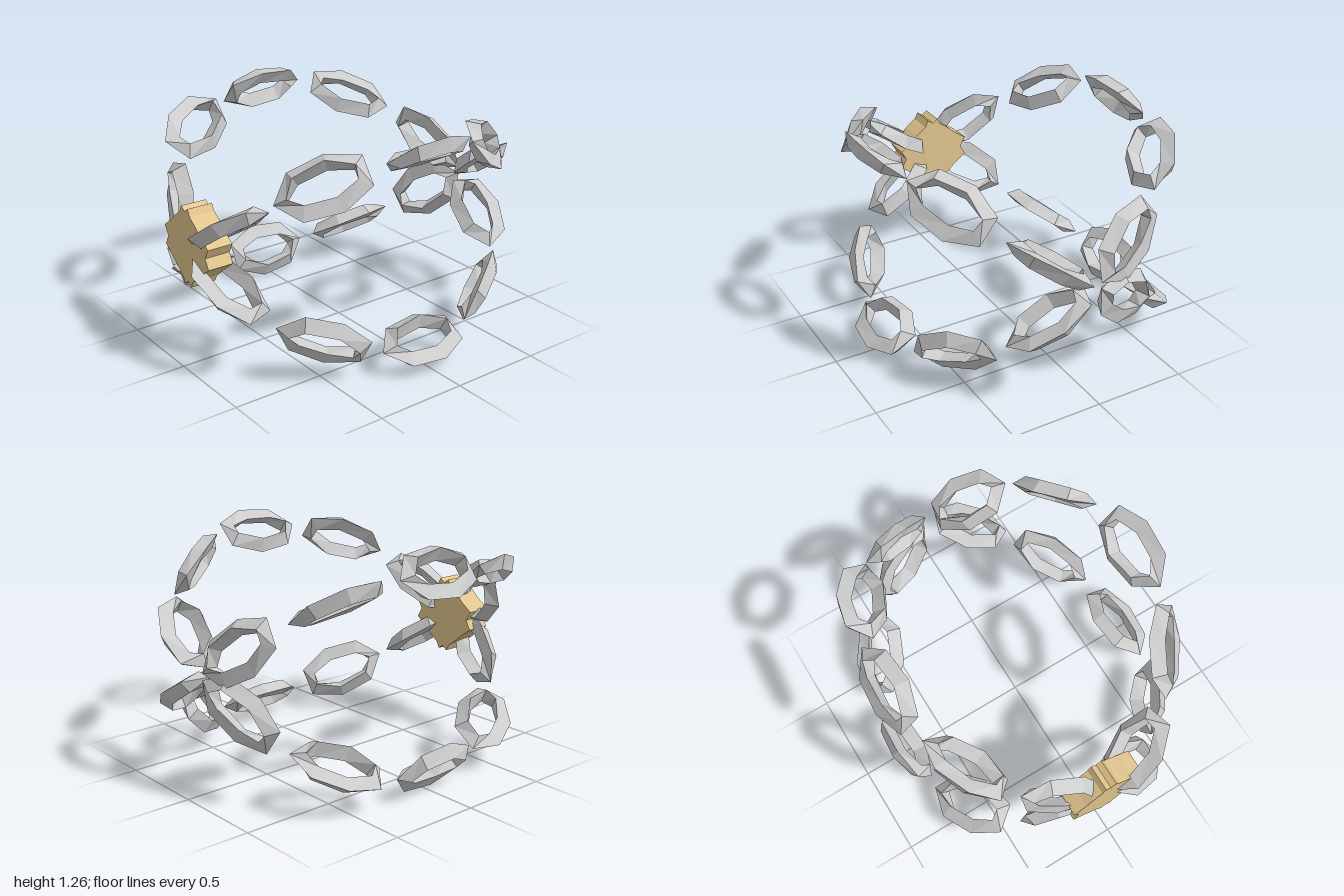
import * as THREE from 'three';

// One link: a three-sided bar of even thickness swept round a seven-cornered
// oval, its section rolling slightly from one long side to the other
function makeLinkGeometry() {
  const sides = 3, corners = 7;
  const halfLength = 0.208, halfWidth = 0.113, bar = 0.047;
  const roll = Math.PI / 6;
  const geo = new THREE.TorusGeometry(1, 0.2, sides, corners);
  const pos = geo.attributes.position;
  for (let j = 0, k = 0; j <= sides; j++) {
    for (let i = 0; i <= corners; i++, k++) {
      const a = (i / corners) * Math.PI * 2;
      const v = (j / sides) * Math.PI * 2 + roll * Math.sin(a);
      const out = new THREE.Vector2(Math.cos(a) / halfLength, Math.sin(a) / halfWidth).normalize();
      pos.setXYZ(k,
        halfLength * Math.cos(a) + out.x * bar * Math.cos(v),
        halfWidth * Math.sin(a) + out.y * bar * Math.cos(v),
        bar * Math.sin(v));
    }
  }
  geo.computeVertexNormals();
  return geo;
}

export function createModel() {
  const model = new THREE.Group();
  model.name = 'crossedChains';
  const steel = new THREE.MeshStandardMaterial({ color: 0xcccccc, flatShading: true });
  const gold = new THREE.MeshStandardMaterial({ color: 0xe2c68e, flatShading: true });
  const cx = -0.015, cy = 0.627;
  const linkGeo = makeLinkGeometry();

  // A ring of ten links, every second one turned on edge
  function chain(name, tilt) {
    const ring = new THREE.Group();
    ring.name = name;
    const count = 10, radius = 0.88;
    const up = new THREE.Vector3(0, 1, 0);
    for (let i = 0; i < count; i++) {
      const a = (i / count) * Math.PI * 2;
      const tangent = new THREE.Vector3(-Math.sin(a), 0, Math.cos(a));
      const radial = new THREE.Vector3(Math.cos(a), 0, Math.sin(a));
      const link = new THREE.Mesh(linkGeo, steel);
      link.name = 'chainLink' + (i + 1);
      link.quaternion.setFromRotationMatrix(new THREE.Matrix4().makeBasis(tangent, radial, up));
      if (i % 2) link.rotateX(Math.PI / 2);
      link.position.copy(radial).multiplyScalar(radius);
      ring.add(link);
    }
    ring.rotation.z = tilt;
    ring.position.set(cx, cy, 0);
    return ring;
  }
  const tilt = THREE.MathUtils.degToRad(35);
  model.add(chain('chainRisingLeft', tilt), chain('chainRisingRight', -tilt));

  // Notched cross plate at the front crossing, mirrored from one quarter outline
  const quarter = [[0.18, 0], [0.21, 0.053], [0.14, 0.103], [0.105, 0.135],
    [0.065, 0.165], [0.05, 0.175], [0.03, 0.212], [0, 0.19]];
  const half = quarter.concat(quarter.slice(0, -1).reverse().map(([x, y]) => [-x, y]));
  const outline = half.concat(half.slice(1, -1).reverse().map(([x, y]) => [x, -y]));
  const shape = new THREE.Shape(outline.map(([x, y]) => new THREE.Vector2(x, y)));
  const plate = new THREE.Mesh(
    new THREE.ExtrudeGeometry(shape, { depth: 0.14, bevelEnabled: false }), gold);
  plate.name = 'crossPlate';
  plate.position.set(cx, cy + 0.008, 0.8);
  model.add(plate);

  return model;
}
